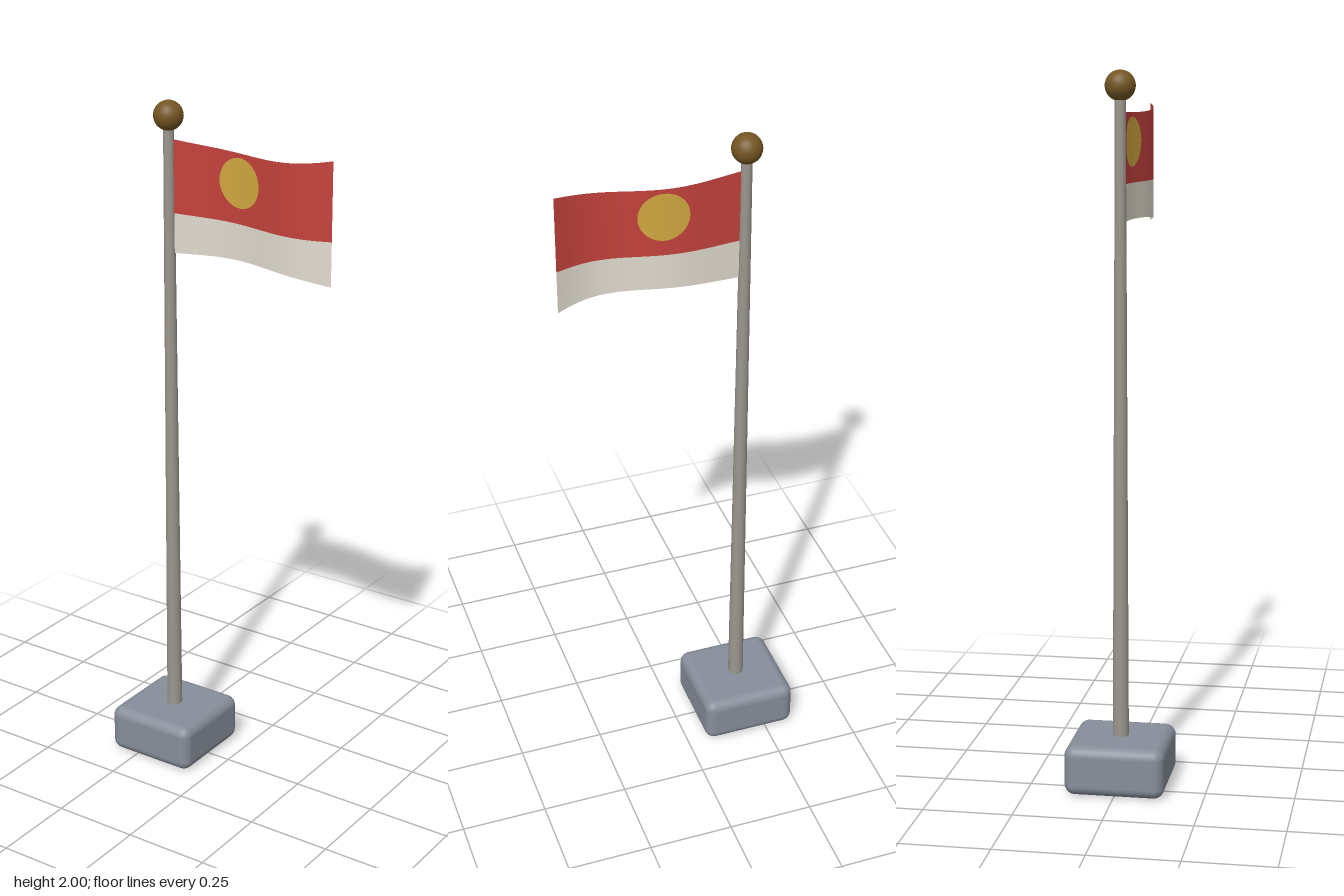
import * as THREE from 'three';
import { RoundedBoxGeometry } from 'three/addons/geometries/RoundedBoxGeometry.js';

const POLE_X = -0.197;
const FLAG_X0 = -0.185, FLAG_X1 = 0.33;   // hoist and fly edges
const FLAG_Y = 1.732, STRIPE_Y = 1.685;   // flag centre line, colour boundary

function material(name, color, doubleSided = false) {
  const m = new THREE.MeshStandardMaterial({ color });
  m.name = name;
  if (doubleSided) m.side = THREE.DoubleSide;
  return m;
}

// Cloth ripple, growing towards the free end
function waveZ(x) {
  const t = (x - FLAG_X0) / (FLAG_X1 - FLAG_X0);
  return -0.03 * (0.2 + 0.8 * t) * Math.sin(2 * Math.PI * t);
}

// Half height of the cloth: narrow in the middle, flared at the free end
function halfHeight(t) {
  return 0.1615 - 0.0358 * t + 0.0463 * t ** 3;
}

// Wavy strip of cloth between two edges given as functions of t
function clothStrip(bottom, top) {
  const geo = new THREE.PlaneGeometry(1, 1, 32, 4);
  const p = geo.attributes.position;
  for (let i = 0; i < p.count; i++) {
    const t = p.getX(i) + 0.5, v = p.getY(i) + 0.5;
    const x = THREE.MathUtils.lerp(FLAG_X0, FLAG_X1, t);
    p.setXYZ(i, x, THREE.MathUtils.lerp(bottom(t), top(t), v), waveZ(x));
  }
  geo.computeVertexNormals();
  return geo;
}

// Round emblem that follows the ripple, just off one face of the cloth
function emblemDisc(side) {
  const geo = new THREE.RingGeometry(0, 0.07, 40, 8);
  if (side < 0) geo.rotateY(Math.PI);
  geo.translate(0.034, 1.8, 0);
  const p = geo.attributes.position;
  for (let i = 0; i < p.count; i++) p.setZ(i, waveZ(p.getX(i)) + side * 0.002);
  geo.computeVertexNormals();
  return geo;
}

export function createModel() {
  const model = new THREE.Group();
  model.name = 'flagpole';

  const stone = material('stone grey', 0x878e9a);
  const metal = material('pole grey', 0x9b978e);
  const bronze = material('dark bronze', 0x745622);
  const red = material('flag red', 0xc5423c, true);
  const cream = material('flag cream', 0xe2dccf, true);
  const gold = material('emblem gold', 0xd2a840);

  const add = (parent, name, geo, mat, x = 0, y = 0) => {
    const mesh = new THREE.Mesh(geo, mat);
    mesh.name = name;
    mesh.position.set(x, y, 0);
    parent.add(mesh);
  };

  // Base block, tapered pole and ball finial
  add(model, 'base', new RoundedBoxGeometry(0.282, 0.142, 0.282, 4, 0.03), stone, POLE_X, 0.071);
  add(model, 'pole', new THREE.CylinderGeometry(0.015, 0.023, 1.81, 16), metal, POLE_X, 1.045);
  add(model, 'finial', new THREE.SphereGeometry(0.042, 32, 20), bronze, POLE_X, 1.958);

  // Two-colour flag with a disc on each face
  const flag = new THREE.Group();
  flag.name = 'flag';
  add(flag, 'upperBand', clothStrip(() => STRIPE_Y, t => FLAG_Y + halfHeight(t)), red);
  add(flag, 'lowerBand', clothStrip(t => FLAG_Y - halfHeight(t), () => STRIPE_Y), cream);
  add(flag, 'frontEmblem', emblemDisc(1), gold);
  add(flag, 'backEmblem', emblemDisc(-1), gold);
  model.add(flag);

  return model;
}
